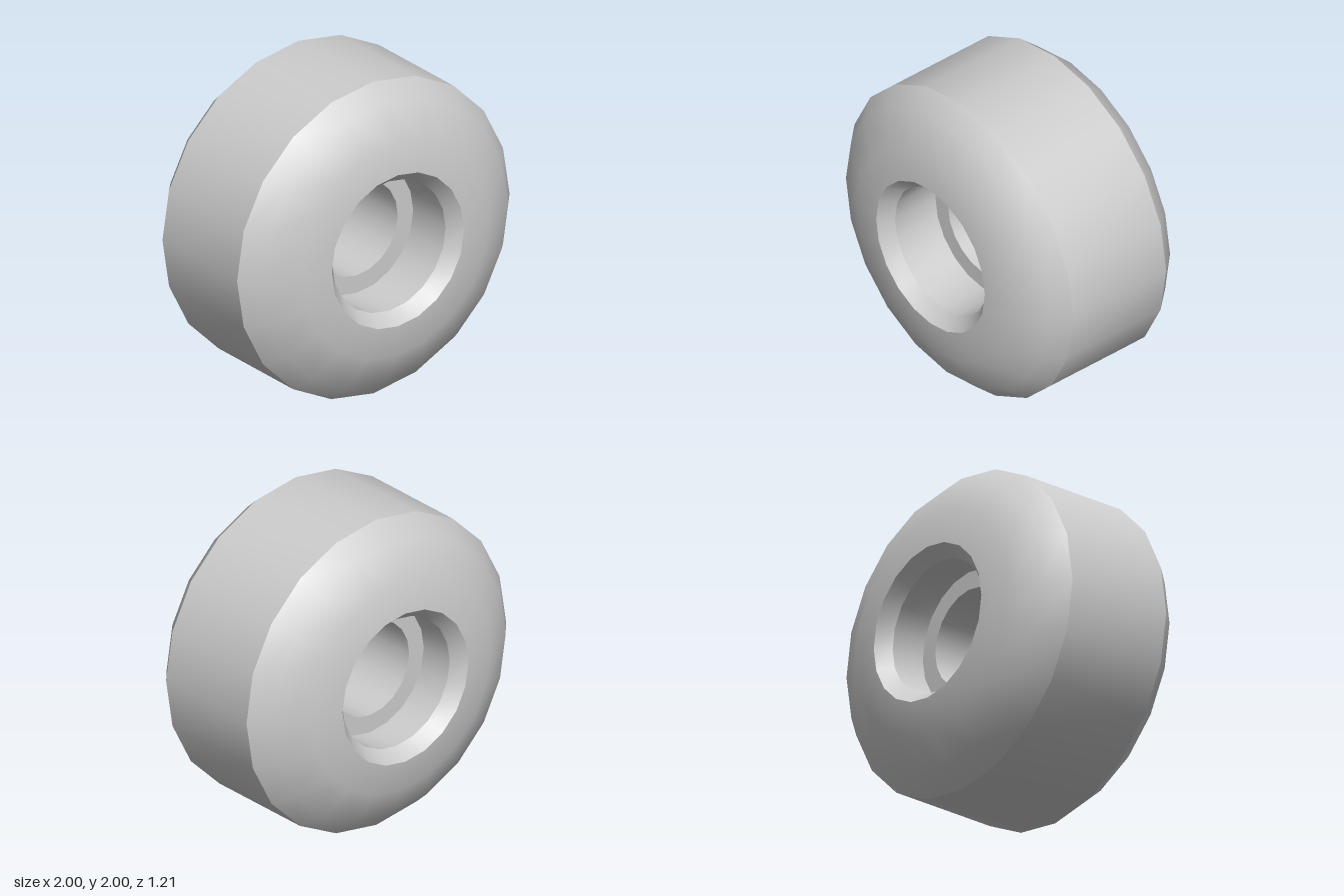
import * as THREE from 'three';
import { toCreasedNormals } from 'three/addons/utils/BufferGeometryUtils.js';

const SIDES = 20;
const CREASE = 0.5;

export function createModel() {
  const wheel = new THREE.Group();
  wheel.name = 'wheel';
  const material = new THREE.MeshStandardMaterial({ color: 0xcccccc });

  // Turns a [radius, z] profile about the axle; outer surfaces run towards +z
  const turn = (name, profile) => {
    const points = profile.map(([r, z]) => new THREE.Vector2(r, z));
    const geometry = new THREE.LatheGeometry(points, SIDES).rotateX(Math.PI / 2);
    const mesh = new THREE.Mesh(toCreasedNormals(geometry, CREASE), material);
    mesh.name = name;
    mesh.position.y = 1;
    wheel.add(mesh);
  };

  // Rounded outer body: back face, back shoulder, tread, front shoulder, front face
  turn('tread', [
    [0.485, -0.605], [0.68, -0.575], [0.89, -0.47], [1, -0.345],
    [1, 0.37], [0.9, 0.48], [0.68, 0.585], [0.485, 0.605],
  ]);

  // Chamfered bearing seats on both sides of the narrower axle bore
  turn('frontBearingSeat', [[0.485, 0.605], [0.415, 0.52], [0.415, 0.21], [0.302, 0.21]]);
  turn('axleBore', [[0.302, 0.21], [0.302, -0.29]]);
  turn('backBearingSeat', [[0.302, -0.29], [0.415, -0.29], [0.415, -0.52], [0.485, -0.605]]);

  return wheel;
}
